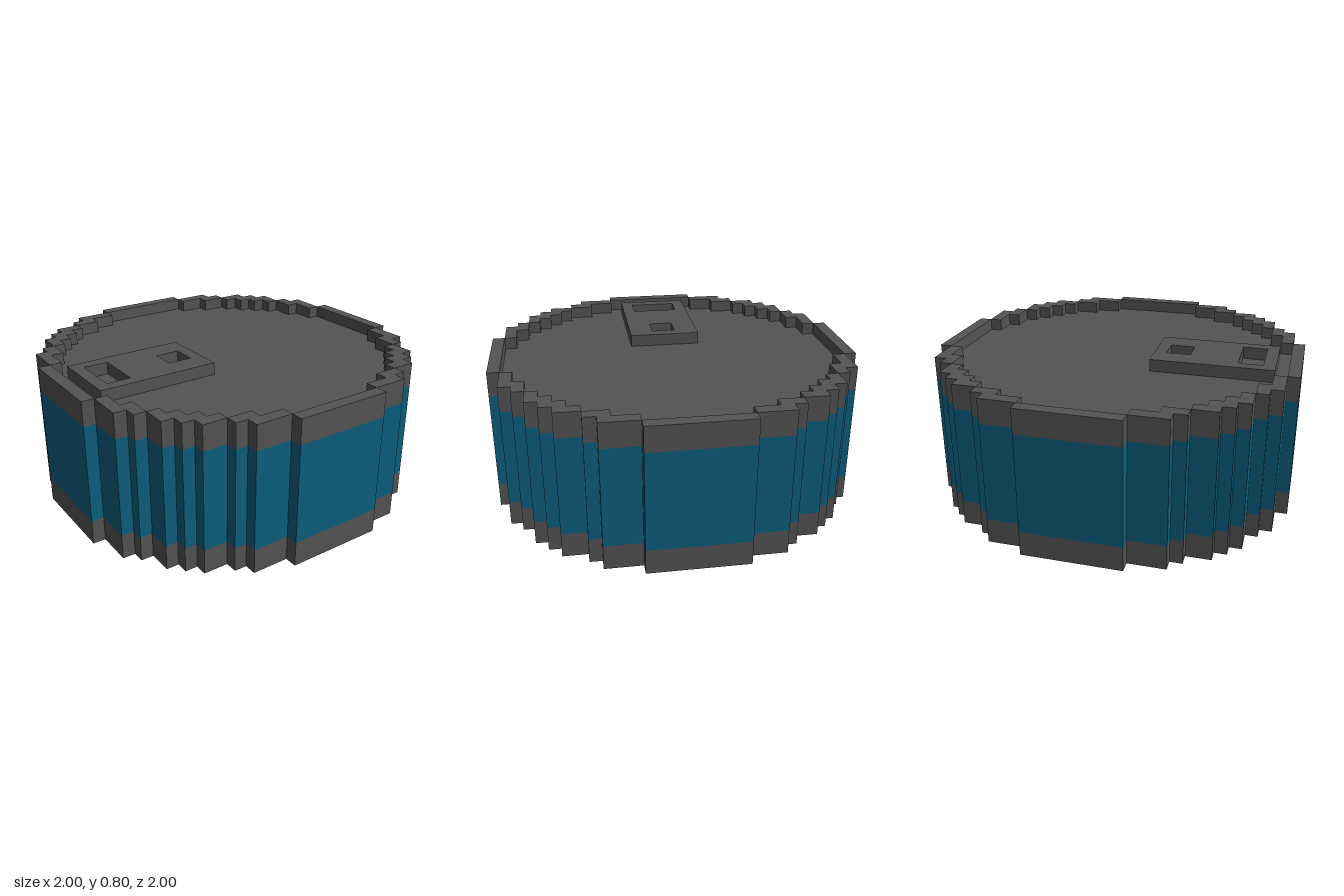
import * as THREE from 'three';
import { mergeGeometries } from 'three/addons/utils/BufferGeometryUtils.js';

const U = 1 / 15; // one block of the stepped grid

// Upright prism from a plan outline, between two heights, all in blocks
function prism(points, y0, y1, holes = []) {
  const toV = ([x, y]) => new THREE.Vector2(x * U, y * U);
  const shape = new THREE.Shape(points.map(toV));
  for (const h of holes) shape.holes.push(new THREE.Path(h.map(toV)));
  const geo = new THREE.ExtrudeGeometry(shape, { depth: (y1 - y0) * U, bevelEnabled: false });
  return geo.rotateX(-Math.PI / 2).translate(0, y0 * U, 0);
}

const rect = (x0, x1, z0, z1) => [[x0, z0], [x1, z0], [x1, z1], [x0, z1]];

// Quarter turns in plan
const turn = (pts, n) => {
  let out = pts;
  for (let i = 0; i < n; i++) out = out.map(([x, y]) => [-y, x]);
  return out;
};

// Stepped circle: one quarter of the outline, repeated four times
const quarter = [
  [15, -4], [15, 4], [14, 4], [14, 7], [13, 7], [13, 8], [12, 8], [12, 10], [11, 10],
  [11, 11], [10, 11], [10, 12], [8, 12], [8, 13], [7, 13], [7, 14], [4, 14],
];
const outline = [0, 1, 2, 3].flatMap((n) => turn(quarter, n));

// Rim pieces between the points where the inner and outer steps touch
const straight = rect(-4, 4, 14, 15);
const shoulder = [[4, 14], [7, 14], [7, 13], [8, 13], [8, 12], [6, 12], [6, 13], [4, 13]];
const diagonal = [
  [8, 12], [10, 12], [10, 11], [11, 11], [11, 10], [12, 10], [12, 8],
  [11, 8], [11, 9], [10, 9], [10, 10], [9, 10], [9, 11], [8, 11],
];
const rimPieces = [straight, shoulder, shoulder.map(([x, y]) => [-x, y]), diagonal];

function rim(y0, y1) {
  const parts = [];
  for (let n = 0; n < 4; n++) for (const p of rimPieces) parts.push(prism(turn(p, n), y0, y1));
  return mergeGeometries(parts);
}

export function createModel() {
  const grey = new THREE.MeshStandardMaterial({ color: 0x545454 });
  grey.name = 'darkGrey';
  const blue = new THREE.MeshStandardMaterial({ color: 0x0d5f7e });
  blue.name = 'tealBlue';

  const group = new THREE.Group();
  group.name = 'steppedDrum';
  const add = (name, geo, mat) => {
    const mesh = new THREE.Mesh(geo, mat);
    mesh.name = name;
    group.add(mesh);
  };

  // Drum body
  add('bottomRim', rim(0, 1), grey);
  add('bottomCap', prism(outline, 1, 2), grey);
  add('sideBand', prism(outline, 2, 10), blue);
  add('topCap', prism(outline, 10, 11), grey);
  add('topRim', rim(11, 12), grey);

  // Raised plate with a slot and a square opening
  add('openingPlate', prism(rect(-13, -3, -3, 3), 11, 12,
    [rect(-12, -10, -2, 2), rect(-6, -4, -1, 1)]), grey);

  return group;
}
